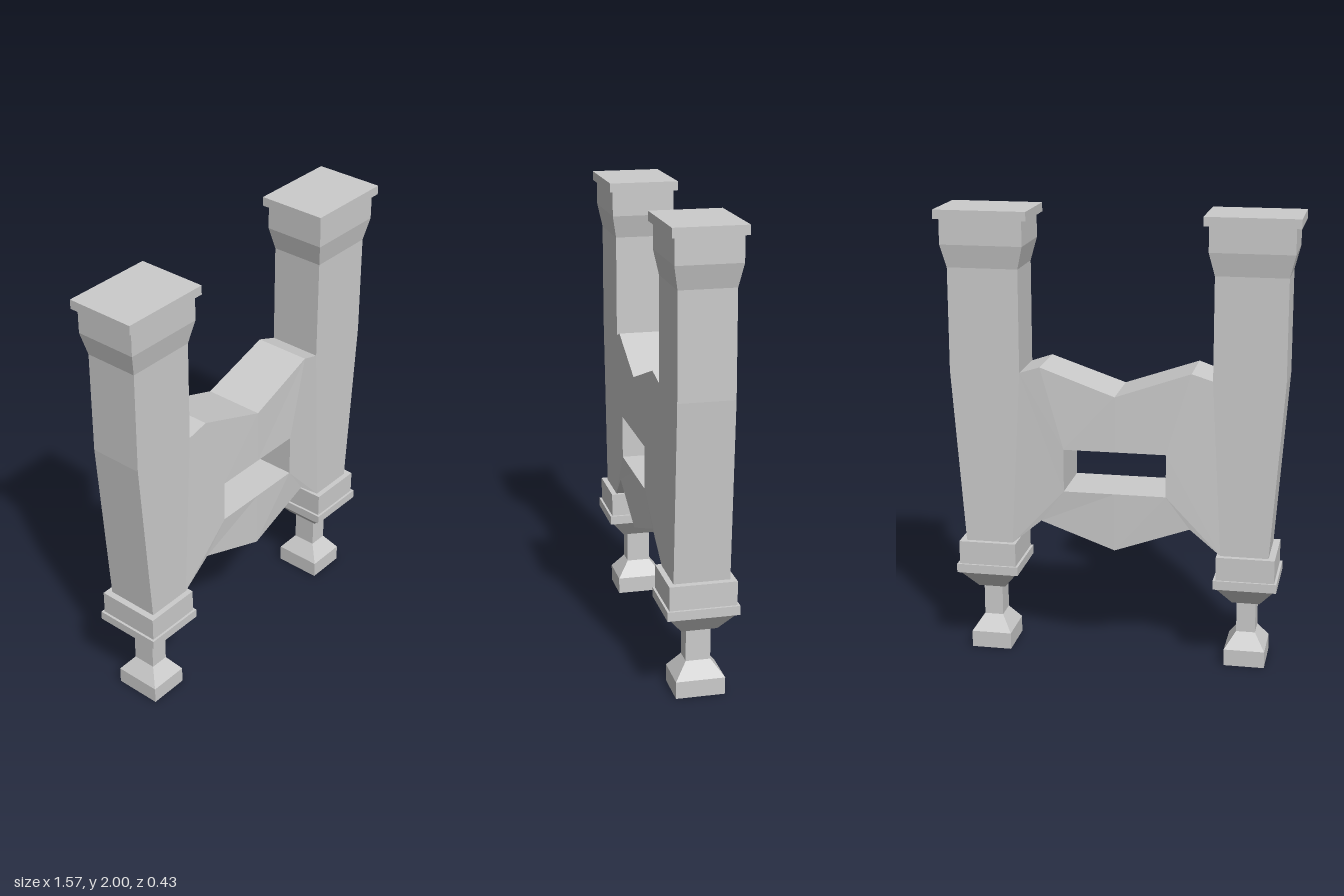
import * as THREE from 'three';

const material = new THREE.MeshStandardMaterial({ color: 0xcccccc, flatShading: true });

// Joins rings of equal point count with flat quads; ends are capped unless the rings wrap around.
function loft(name, rings, wrap = false) {
  const pos = [];
  const n = rings[0].length;
  const tri = (a, b, c) => pos.push(...a, ...b, ...c);
  const last = wrap ? rings.length : rings.length - 1;
  for (let i = 0; i < last; i++) {
    const lo = rings[i], hi = rings[(i + 1) % rings.length];
    for (let j = 0; j < n; j++) {
      const k = (j + 1) % n;
      tri(lo[j], lo[k], hi[k]);
      tri(lo[j], hi[k], hi[j]);
    }
  }
  if (!wrap) {
    const bottom = rings[0], top = rings[rings.length - 1];
    for (let j = 1; j < n - 1; j++) {
      tri(bottom[0], bottom[j + 1], bottom[j]);
      tri(top[0], top[j], top[j + 1]);
    }
  }
  const geometry = new THREE.BufferGeometry();
  geometry.setAttribute('position', new THREE.Float32BufferAttribute(pos, 3));
  geometry.computeVertexNormals();
  const mesh = new THREE.Mesh(geometry, material);
  mesh.name = name;
  return mesh;
}

// Rectangular ring of a column, from its inner to its outer x on the given side
function rect(side, y, inner, outer, hz) {
  const x0 = side > 0 ? inner : -outer;
  const x1 = side > 0 ? outer : -inner;
  return [[x1, y, hz], [x1, y, -hz], [x0, y, -hz], [x0, y, hz]];
}

const CX = 0.576; // column axis

function column(side) {
  const group = new THREE.Group();
  group.name = side > 0 ? 'leftColumn' : 'rightColumn';
  const centred = (name, rows) =>
    group.add(loft(name, rows.map(([y, hx, hz]) => rect(side, y, CX - hx, CX + hx, hz))));

  // Hollow foot with a thin stem
  centred('foot', [
    [0.06, 0.066, 0.082], [0, 0.066, 0.082], [0, 0.09, 0.106],
    [0.075, 0.09, 0.106], [0.145, 0.042, 0.053], [0.29, 0.042, 0.053],
  ]);
  // Funnel, flange and block under the column
  centred('columnBase', [
    [0.29, 0.061, 0.077], [0.375, 0.127, 0.143], [0.375, 0.139, 0.154],
    [0.415, 0.139, 0.154], [0.415, 0.128, 0.144], [0.52, 0.128, 0.144],
  ]);
  // Shaft, tapering below the top of the bridge
  group.add(loft('columnShaft', [
    rect(side, 0.52, 0.465, 0.675, 0.12),
    rect(side, 1.3, 0.421, 0.731, 0.12),
    rect(side, 1.75, 0.421, 0.731, 0.12),
  ]));
  // Flared head with its slab
  centred('columnHead', [
    [1.75, 0.155, 0.12], [1.85, 0.18, 0.139], [1.96, 0.18, 0.139],
    [1.96, 0.202, 0.154], [2, 0.202, 0.154],
  ]);
  return group;
}

// Bridge panel between the columns, bulging slightly towards a rectangular slot
function bridge() {
  const mirrored = (top, bottom) => {
    const flip = ([x, y, z]) => [-x, y, z];
    return [
      ...top, ...top.slice(0, 2).reverse().map(flip),
      ...bottom.slice(0, 2).map(flip), bottom[2], ...bottom.slice(0, 2).reverse(),
    ];
  };
  const outer = mirrored(
    [[0.421, 1.3, 0.12], [0.33, 1.33, 0.127], [0, 1.215, 0.135]],
    [[0.465, 0.52, 0.12], [0.33, 0.635, 0.127], [0, 0.52, 0.135]],
  );
  const slot = mirrored(
    [[0.225, 0.97, 0.138], [0.225, 0.97, 0.138], [0, 0.97, 0.138]],
    [[0.225, 0.78, 0.138], [0.225, 0.78, 0.138], [0, 0.78, 0.138]],
  );
  const back = (ring) => ring.map(([x, y, z]) => [x, y, -z]);
  return loft('bridge', [back(outer), outer, slot, back(slot)], true);
}

export function createModel() {
  const model = new THREE.Group();
  model.name = 'twinColumnFrame';
  model.add(column(1), column(-1), bridge());
  model.rotation.y = 0.076; // slight turn about the vertical
  return model;
}
